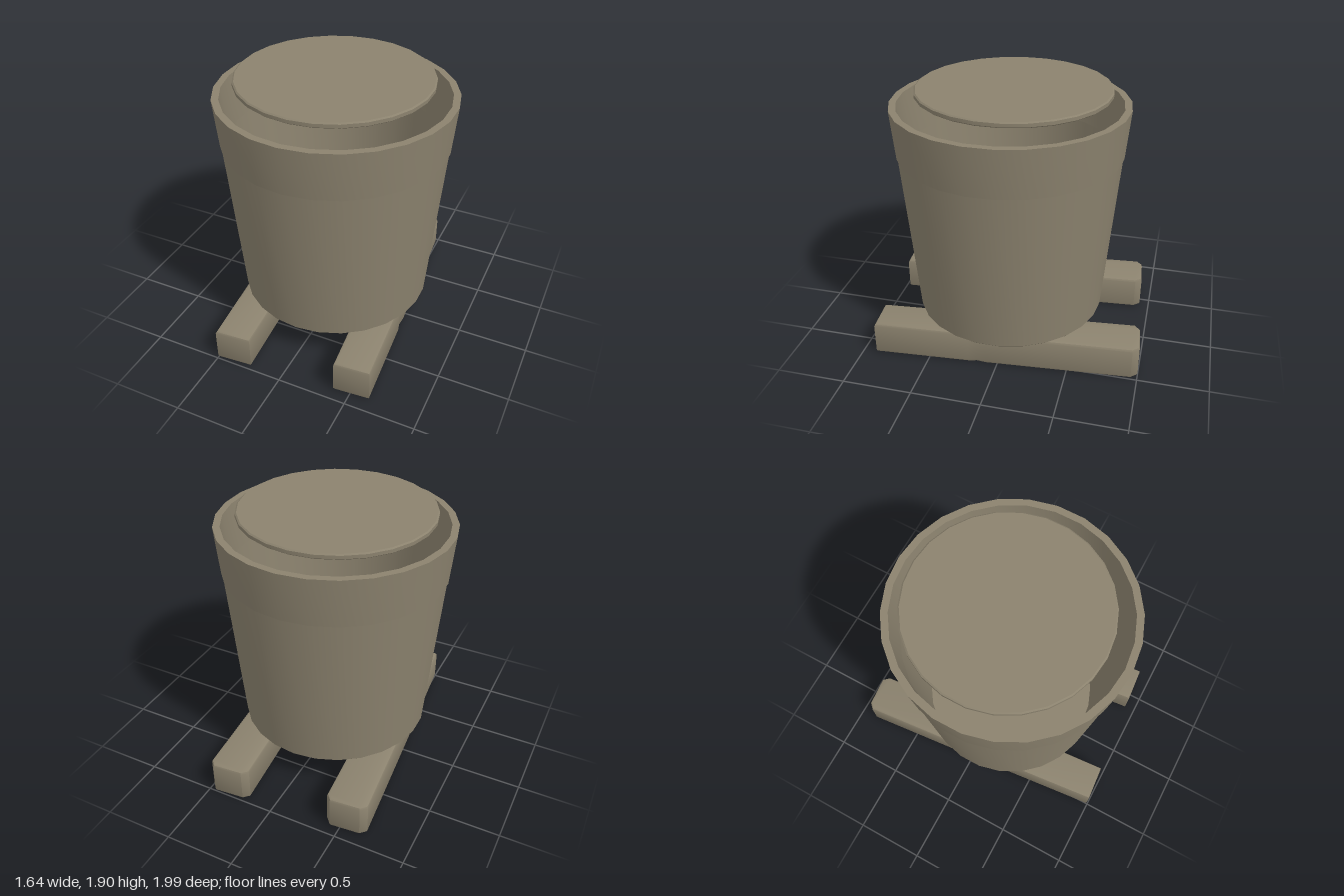
import * as THREE from 'three';
import { toCreasedNormals } from 'three/addons/utils/BufferGeometryUtils.js';

const SIDES = 26;
const CENTRE_Z = 0.035;

export function createModel() {
  const model = new THREE.Group();
  model.name = 'tubOnRunners';

  const wood = new THREE.MeshStandardMaterial({ color: 0x8b826e });
  wood.name = 'weatheredWood';

  const add = (name, geometry, x, y, z) => {
    const mesh = new THREE.Mesh(toCreasedNormals(geometry, 0.6), wood);
    mesh.name = name;
    mesh.position.set(x, y, z);
    model.add(mesh);
    return mesh;
  };
  const lathe = (points) =>
    new THREE.LatheGeometry(points.map(([r, y]) => new THREE.Vector2(r, y)), SIDES);

  // Hollow tapered tub, from the underside up the outer wall and down to the floor
  add('tub', lathe([
    [0, 0.25], [0.677, 0.25], [0.685, 0.258], [0.787, 1.47],
    [0.745, 1.47], [0.64, 0.32], [0, 0.32],
  ]), -0.003, 0, CENTRE_Z);

  // Slightly wider band around the mouth
  add('rimBand', lathe([
    [0.742, 1.455], [0.793, 1.455], [0.824, 1.8], [0.775, 1.8], [0.742, 1.455],
  ]), -0.003, 0, CENTRE_Z);

  // Thin round lid hovering over the mouth
  add('lid', lathe([
    [0, -0.02], [0.665, -0.02], [0.675, -0.012], [0.675, 0.012], [0.665, 0.02], [0, 0.02],
  ]), -0.022, 1.885, 0.015);

  // Runner outline as x, z: chamfered back end, small pinch on each side
  const outline = [
    [-0.50, 0.99], [-0.24, 0.97], [-0.293, 0.28], [-0.308, 0.22], [-0.303, 0.15],
    [-0.39, -0.885], [-0.43, -0.93], [-0.645, -0.912], [-0.687, -0.87],
    [-0.59, 0.15], [-0.57, 0.22], [-0.573, 0.28],
  ];
  const bevel = 0.02;
  const shape = new THREE.Shape(outline.map(([x, z]) => new THREE.Vector2(x, -z)));
  const runner = new THREE.ExtrudeGeometry(shape, {
    depth: 0.25 - 2 * bevel, bevelEnabled: true, bevelSize: bevel,
    bevelThickness: bevel, bevelOffset: -bevel, bevelSegments: 2,
  });
  runner.rotateX(-Math.PI / 2);
  add('rightRunner', runner, 0, bevel, 0);
  add('leftRunner', runner, 0.88, bevel, -0.07);

  return model;
}
